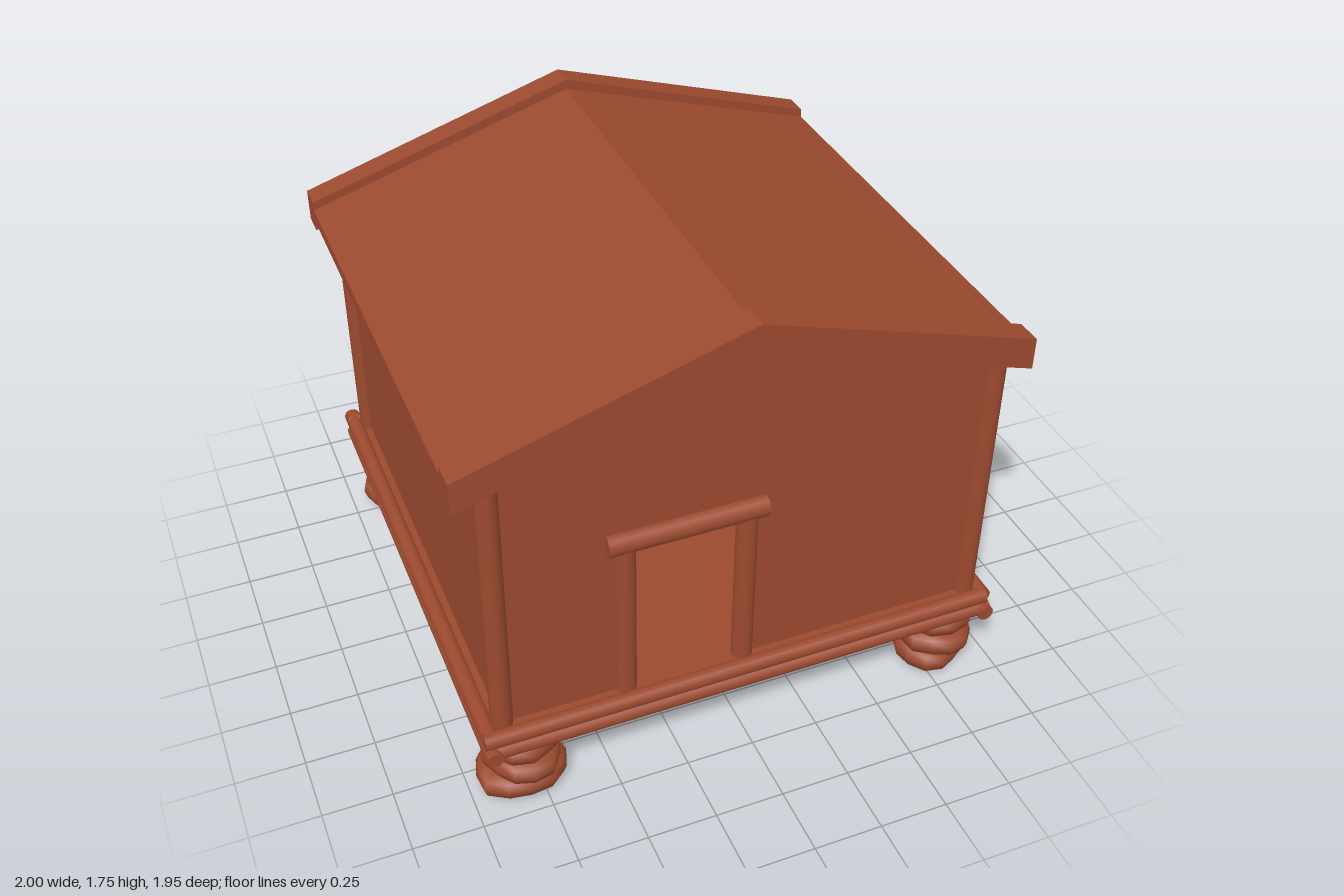
import * as THREE from 'three';

const material = new THREE.MeshStandardMaterial({ color: 0x9c4a2f });
const W = 0.885; // outer face of the walls
const T = 0.03; // wall thickness
const UP = new THREE.Vector3(0, 1, 0);

function add(parent, name, geometry) {
  const mesh = new THREE.Mesh(geometry, material);
  mesh.name = name;
  parent.add(mesh);
  return mesh;
}

// Round log between two points
function log(parent, name, from, to, radius) {
  const a = new THREE.Vector3(...from);
  const b = new THREE.Vector3(...to);
  const dir = b.clone().sub(a);
  const mesh = add(parent, name, new THREE.CylinderGeometry(radius, radius, dir.length(), 14));
  mesh.position.copy(a).add(b).multiplyScalar(0.5);
  mesh.quaternion.setFromUnitVectors(UP, dir.normalize());
}

// Extruded outline in the xy plane, starting at z
function slab(parent, name, points, z, depth, hole) {
  const shape = new THREE.Shape(points.map(p => new THREE.Vector2(...p)));
  if (hole) shape.holes.push(new THREE.Path(hole.map(p => new THREE.Vector2(...p))));
  const mesh = add(parent, name, new THREE.ExtrudeGeometry(shape, { depth, bevelEnabled: false }));
  mesh.position.z = z;
}

// Bent band that follows both roof slopes
const chevron = (eave, ridge, thick) => [
  [-1, eave - thick], [0, ridge - thick], [1, eave - thick],
  [1, eave], [0, ridge], [-1, eave],
];

// Flat rounded stone with an uneven outline
function stone(parent, x, y, z, rx, h, rz, seed) {
  const profile = [[0, -1], [0.72, -1], [0.93, -0.68], [1, 0], [0.93, 0.68], [0.72, 1], [0, 1]];
  const g = new THREE.LatheGeometry(profile.map(p => new THREE.Vector2(...p)), 12);
  const p = g.attributes.position;
  for (let i = 0; i < p.count; i++) {
    const a = Math.atan2(p.getZ(i), p.getX(i));
    const k = 0.97 + 0.05 * Math.sin(3 * a + seed * 2.1) + 0.03 * Math.cos(5 * a + seed);
    const lift = 0.08 * Math.sin(a + seed) * Math.hypot(p.getX(i), p.getZ(i));
    p.setXYZ(i, p.getX(i) * k * rx, (p.getY(i) + lift) * h, p.getZ(i) * k * rz);
  }
  g.computeVertexNormals();
  // Weld the shading across the lathe seam
  const n = g.attributes.normal;
  const rows = profile.length;
  const last = 12 * rows;
  for (let j = 0; j < rows; j++) {
    const v = new THREE.Vector3().fromBufferAttribute(n, j)
      .add(new THREE.Vector3().fromBufferAttribute(n, last + j)).normalize();
    n.setXYZ(j, v.x, v.y, v.z);
    n.setXYZ(last + j, v.x, v.y, v.z);
  }
  add(parent, 'stone', g).position.set(x, y, z);
}

export function createModel() {
  const model = new THREE.Group();
  model.name = 'hut';

  // Stone stacks: x, z, rx, rz for each stone from bottom to top
  const stacks = {
    frontRightFoot: [[-0.81, 0.82, 0.17, 0.15], [-0.8, 0.82, 0.145, 0.16], [-0.795, 0.81, 0.155, 0.15]],
    frontLeftFoot: [[0.8, 0.82, 0.14, 0.14], [0.81, 0.82, 0.14, 0.165], [0.82, 0.805, 0.155, 0.15]],
    backLeftFoot: [[0.77, -0.8, 0.155, 0.165], [0.8, -0.815, 0.15, 0.14], [0.82, -0.8, 0.15, 0.14]],
    backRightFoot: [[-0.8, -0.81, 0.15, 0.155], [-0.8, -0.815, 0.145, 0.14], [-0.8, -0.8, 0.15, 0.14]],
  };
  Object.entries(stacks).forEach(([name, stones], f) => {
    const foot = new THREE.Group();
    foot.name = name;
    stones.forEach(([x, z, rx, rz], i) => {
      stone(foot, x, 0.052 + i * 0.081, z, rx, 0.047, rz, f * 3.7 + i * 1.9);
    });
    model.add(foot);
  });

  // Floor
  add(model, 'floor', new THREE.BoxGeometry(1.86, 0.08, 1.86)).position.y = 0.31;

  // Two courses of sill logs on every side
  const sills = new THREE.Group();
  sills.name = 'sillLogs';
  for (const s of [-1, 1]) {
    const e = 0.935 * s;
    log(sills, 'lowerCrossSill', [-0.95, 0.277, e], [0.96, 0.277, e], 0.03);
    log(sills, 'upperCrossSill', [-0.96, 0.335, e], [0.94, 0.335, e], 0.03);
    log(sills, 'lowerSideSill', [e, 0.277, -0.95], [e, 0.277, 0.975], 0.03);
    log(sills, 'upperSideSill', [e, 0.335, -0.975], [e, 0.335, 0.94], 0.03);
  }
  model.add(sills);

  // Gable walls, the front one with a doorway
  const gable = [[-W, 0.33], [W, 0.33], [W, 1.41], [0, 1.69], [-W, 1.41]];
  const doorway = [[-0.435, 0.35], [-0.435, 1.01], [0, 1.01], [0, 0.35]];
  slab(model, 'frontWall', gable, W - T, T, doorway);
  slab(model, 'backWall', gable, -W, T);

  // Side walls and corner posts
  for (const s of [-1, 1]) {
    const side = s > 0 ? 'left' : 'right';
    add(model, side + 'Wall', new THREE.BoxGeometry(T, 1.08, 2 * (W - T)))
      .position.set(s * (W - T / 2), 0.87, 0);
    for (const z of [-0.88, 0.88]) {
      log(model, 'cornerPost', [s * 0.88, 0.33, z], [s * 0.88, 1.4, z], 0.039);
    }
  }

  // Door frame
  const frame = new THREE.Group();
  frame.name = 'doorFrame';
  for (const x of [-0.435, -0.003]) log(frame, 'doorPost', [x, 0.34, 0.88], [x, 1, 0.88], 0.038);
  log(frame, 'lintel', [-0.5, 1.01, 0.885], [0.06, 1.01, 0.885], 0.041);
  model.add(frame);

  // Roof and bargeboards
  slab(model, 'roof', chevron(1.41, 1.72, 0.047), -0.83, 1.65);
  slab(model, 'frontBargeboard', chevron(1.443, 1.757, 0.118), 0.825, 0.095);
  slab(model, 'backBargeboard', chevron(1.443, 1.757, 0.118), -0.925, 0.095);

  // Rafters under both slopes
  const rafters = new THREE.Group();
  rafters.name = 'rafters';
  for (let i = 0; i < 9; i++) {
    const z = 0.817 - i * 0.188;
    for (const s of [-1, 1]) {
      log(rafters, 'rafter', [0, 1.652, z], [s * 0.97, 1.351, z], 0.03);
    }
  }
  model.add(rafters);

  return model;
}
